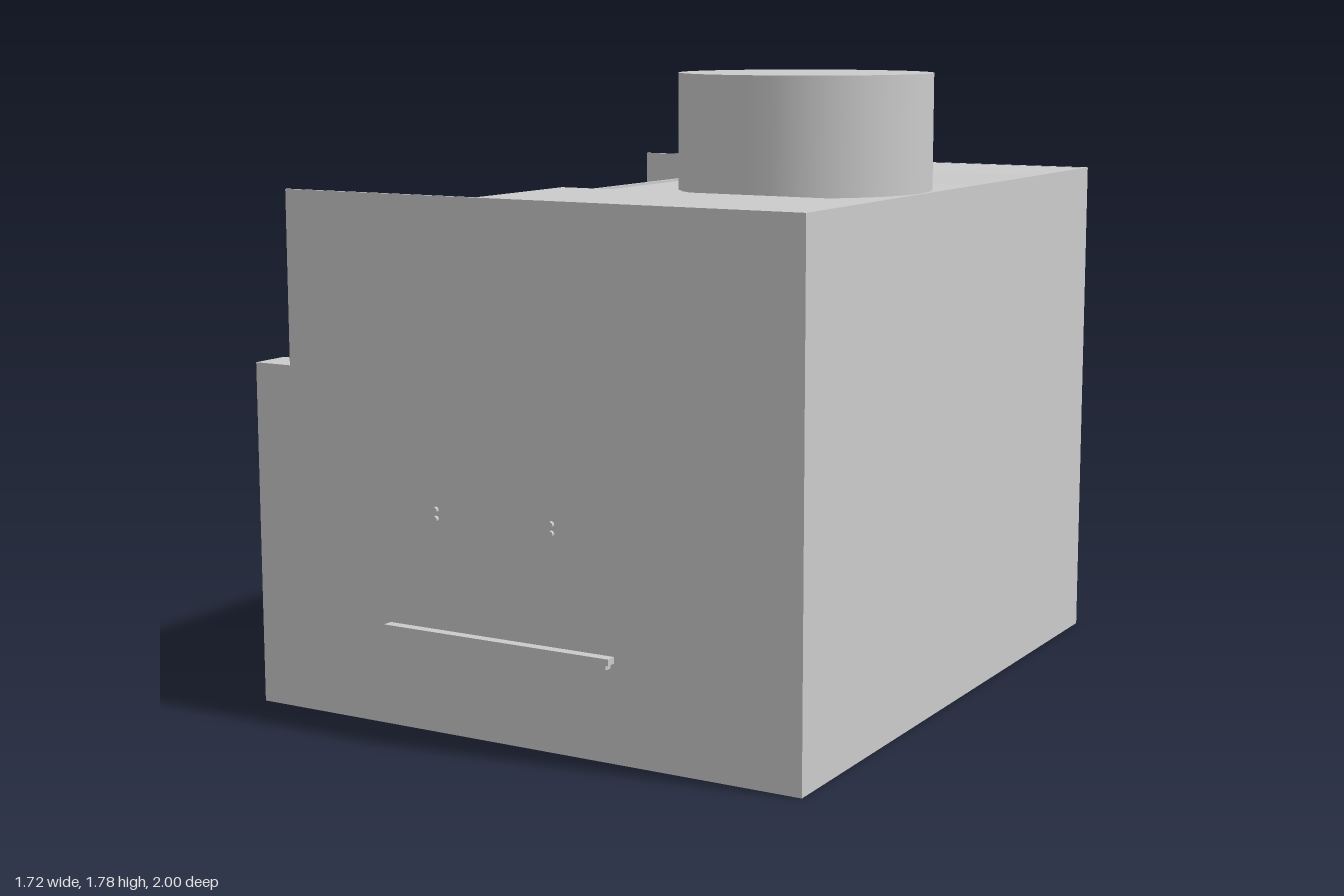
import * as THREE from 'three';

const grey = new THREE.MeshStandardMaterial({ color: 0xcccccc, side: THREE.DoubleSide });

function add(parent, name, geometry, x = 0, y = 0, z = 0) {
  const mesh = new THREE.Mesh(geometry, grey);
  mesh.name = name;
  mesh.position.set(x, y, z);
  parent.add(mesh);
  return mesh;
}

// Box given by its limits on each axis
function block(parent, name, [x0, x1], [y0, y1], [z0, z1]) {
  return add(parent, name, new THREE.BoxGeometry(x1 - x0, y1 - y0, z1 - z0),
    (x0 + x1) / 2, (y0 + y1) / 2, (z0 + z1) / 2);
}

// Swivel chair standing on the floor, its seat facing +z
function makeChair(x, z, turn) {
  const chair = new THREE.Group();
  chair.name = 'swivelChair';
  for (let i = 0; i < 5; i++) {
    const a = i * Math.PI * 2 / 5;
    const foot = add(chair, 'chairFoot', new THREE.BoxGeometry(0.09, 0.012, 0.015),
      Math.cos(a) * 0.045, 0.03, Math.sin(a) * 0.045);
    foot.rotation.y = -a;
    add(chair, 'caster', new THREE.SphereGeometry(0.012, 8, 6), Math.cos(a) * 0.09, 0.024, Math.sin(a) * 0.09);
  }
  add(chair, 'chairStem', new THREE.CylinderGeometry(0.01, 0.01, 0.14, 10), 0, 0.1, 0);
  const seat = add(chair, 'seat', new THREE.CylinderGeometry(0.085, 0.075, 0.025, 16), 0, 0.175, 0);
  seat.scale.z = 0.95;
  const spine = add(chair, 'backSupport', new THREE.BoxGeometry(0.02, 0.14, 0.01), 0, 0.225, -0.085);
  spine.rotation.x = -0.1;
  const back = new THREE.CylinderGeometry(0.16, 0.16, 0.09, 10, 1, true, Math.PI - 0.5, 1);
  add(chair, 'backrest', back, 0, 0.305, 0.07);
  chair.position.set(x, 0.01, z);
  chair.rotation.y = turn;
  return chair;
}

// Desk against an end wall, with a wall board above it; side is +1 front, -1 back
function makeWorkplace(side) {
  const place = new THREE.Group();
  place.name = side > 0 ? 'frontWorkplace' : 'backWorkplace';
  const wall = side > 0 ? 1 : 0.975;
  const span = (a, b) => (side > 0 ? [a, b] : [-b, -a]);
  block(place, 'desktop', [-0.41, 0.31], [0.272, 0.29], span(0.63, wall));
  block(place, 'deskApron', [-0.4, 0.3], [0.258, 0.272], span(wall - 0.035, wall - 0.005));
  for (const x of [-0.405, 0.295]) {
    for (const z of [0.65, 0.955]) {
      block(place, 'deskLeg', [x - 0.008, x + 0.008], [0, 0.272], span(z - 0.008, z + 0.012));
    }
    block(place, 'deskRail', [x - 0.006, x + 0.006], [0.245, 0.272], span(0.65, 0.95));
  }
  // Small tablet and its stand on the desk
  const tablet = block(place, 'tablet', [-0.12, -0.04], [0.295, 0.345], span(0.79, 0.797));
  tablet.rotation.x = side * 0.4;
  block(place, 'tabletStand', [-0.12, -0.04], [0.29, 0.295], span(0.73, 0.8));
  // Wall board with its two pairs of fixings
  const shift = side > 0 ? 0 : -0.06;
  block(place, 'wallBoard', [-0.31 + shift, 0.18 + shift], [0.47, 0.75], span(0.945, 0.96));
  for (const x of side > 0 ? [-0.25, 0.12] : [-0.365, 0.12]) {
    for (const y of [0.6, 0.625]) {
      const pin = add(place, 'boardFixing', new THREE.CylinderGeometry(0.009, 0.009, 0.04, 8),
        x, y - 0.003, side > 0 ? 0.96 : -0.98);
      pin.rotation.x = Math.PI / 2;
    }
  }
  return place;
}

export function createModel() {
  const model = new THREE.Group();
  model.name = 'officeBuilding';

  // Shell: floor, end walls and the closed side wall
  block(model, 'floor', [-0.74, 0.86], [0, 0.012], [-0.99, 0.97]);
  block(model, 'frontWall', [-0.74, 0.86], [0, 1.47], [0.96, 0.97]);
  block(model, 'backWall', [-0.74, 0.86], [0, 1.47], [-0.99, -0.98]);
  block(model, 'sideWall', [0.85, 0.86], [0, 1.47], [-0.98, 0.96]);

  // Low roof over the open side and the step up to the high roof
  block(model, 'lowRoof', [-0.74, -0.12], [0.965, 0.98], [-0.98, 0.96]);
  block(model, 'roofStep', [-0.12, -0.11], [0.965, 1.455], [-0.98, 0.96]);

  // High roof with a shallow sunken middle
  const profile = new THREE.Shape([
    [-0.985, 1.469], [-0.57, 1.469], [-0.42, 1.44], [0.38, 1.44], [0.53, 1.469], [0.965, 1.469],
    [0.965, 1.455], [0.53, 1.455], [0.38, 1.425], [-0.42, 1.425], [-0.57, 1.455], [-0.985, 1.455],
  ].map(([z, y]) => new THREE.Vector2(z, y)));
  const roof = add(model, 'highRoof',
    new THREE.ExtrudeGeometry(profile, { depth: 0.975, bevelEnabled: false }), 0.855, 0, 0);
  roof.rotation.y = -Math.PI / 2;

  // Round roof tower on its square base
  block(model, 'towerBase', [-0.11, 0.73], [1.438, 1.448], [-0.37, 0.36]);
  add(model, 'roofTower', new THREE.CylinderGeometry(0.365, 0.365, 0.34, 32), 0.365, 1.61, -0.005);

  // Window front: corner posts, sill, head and slim mullions
  block(model, 'cornerPost', [-0.86, -0.74], [0, 0.98], [-0.99, -0.87]);
  block(model, 'cornerPost', [-0.86, -0.74], [0, 0.98], [0.85, 0.97]);
  block(model, 'windowSill', [-0.86, -0.74], [0, 0.025], [-0.87, 0.85]);
  block(model, 'windowHead', [-0.86, -0.74], [0.945, 0.97], [-0.87, 0.85]);
  for (const z of [-0.635, -0.01, 0.615]) {
    block(model, 'mullion', [-0.858, -0.838], [0.02, 0.95], [z - 0.01, z + 0.01]);
  }

  // Furniture
  model.add(makeWorkplace(1), makeWorkplace(-1));
  model.add(makeChair(-0.56, 0.165, 0.5), makeChair(-0.27, 0.51, 0.2));
  model.add(makeChair(-0.16, 0.23, 1.2), makeChair(0.05, -0.45, Math.PI));
  return model;
}
